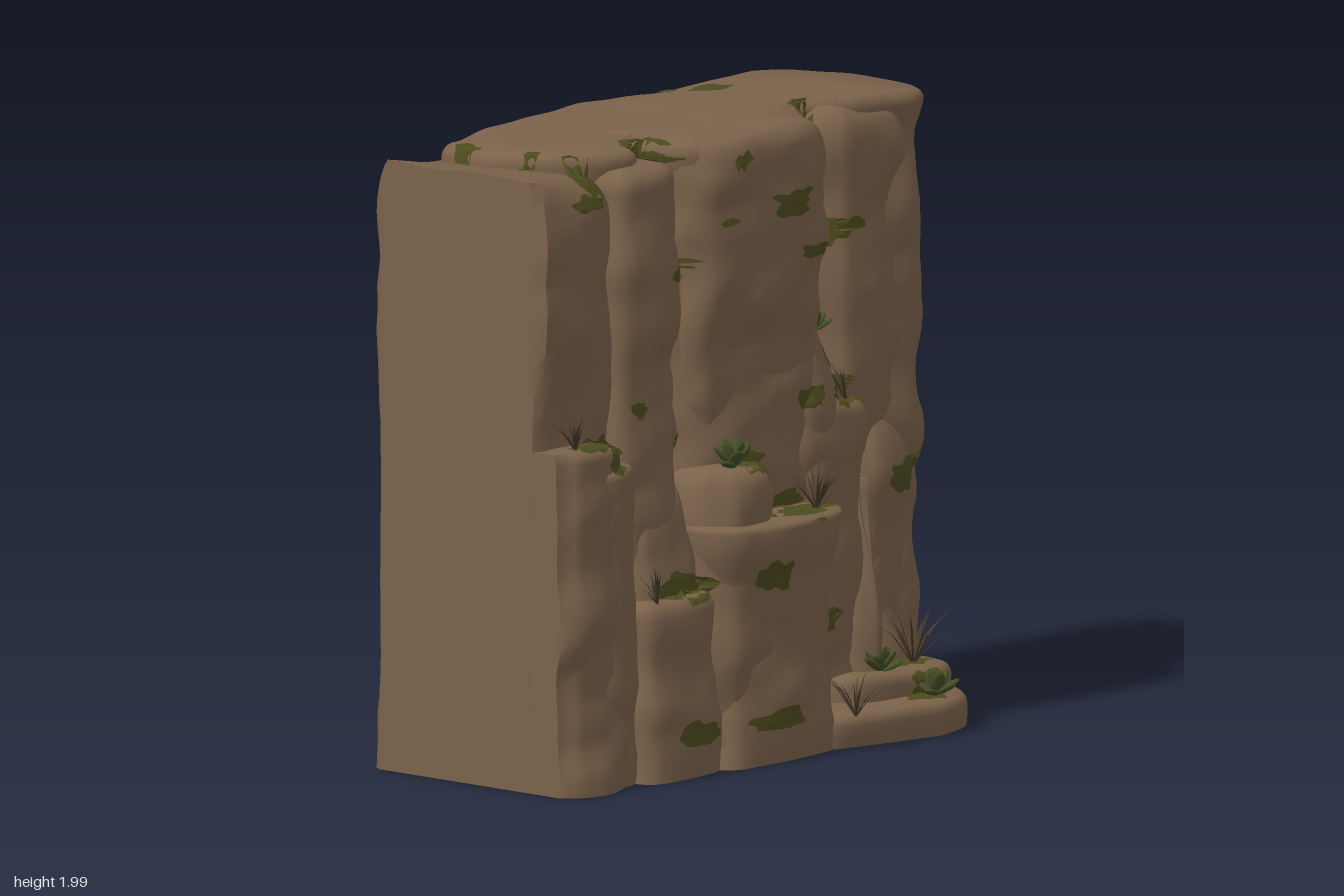
import * as THREE from 'three';
import { toCreasedNormals, mergeGeometries } from 'three/addons/utils/BufferGeometryUtils.js';

const hash = (a, b, c) => {
  const s = Math.sin(a * 127.1 + b * 311.7 + c * 74.7) * 43758.5453;
  return s - Math.floor(s);
};
// smooth value noise, -1..1
function noise(x, y, z) {
  const i = Math.floor(x), j = Math.floor(y), k = Math.floor(z);
  const f = t => t * t * (3 - 2 * t), L = THREE.MathUtils.lerp;
  const u = f(x - i), v = f(y - j), w = f(z - k);
  const edge = (b, c) => L(hash(i, b, c), hash(i + 1, b, c), u);
  return 2 * L(L(edge(j, k), edge(j + 1, k), v), L(edge(j, k + 1), edge(j + 1, k + 1), v), w) - 1;
}
function seeded(seed) {
  let n = 0;
  return () => hash(seed, ++n, 3.7);
}
function profileAt(profile, y) {
  for (let i = 1; i < profile.length; i++) {
    const [y0, a] = profile[i - 1], [y1, b] = profile[i];
    if (y <= y1) return a + (b - a) * THREE.MathUtils.smoothstep(y, y0, y1);
  }
  return profile[profile.length - 1][1];
}

// Weathered rock: a ground outline [x, z] raised to a height, inset by a profile [y, inset]
function rockGeometry({ outline, h, profile = [[0, 0]], amp = 0.027, bevel = 0.035, tilt = 0, seed = 0 }) {
  const area = outline.reduce((s, p, i) => {
    const q = outline[(i + 1) % outline.length];
    return s + p[0] * q[1] - q[0] * p[1];
  }, 0);
  const pts = (area > 0 ? outline : [...outline].reverse()).map(p => new THREE.Vector3(p[0], 0, p[1]));
  const curve = new THREE.CatmullRomCurve3(pts, true, 'catmullrom', 0.3);
  const N = outline.length > 12 ? 120 : 60;
  const ring = curve.getSpacedPoints(N).slice(0, N);
  const centre = ring.reduce((s, p) => s.add(p), new THREE.Vector3()).divideScalar(N);
  const levels = [];
  const steps = Math.max(2, Math.round((h - bevel) / 0.045));
  for (let j = 0; j <= steps; j++) levels.push([(h - bevel) * j / steps, 0, 1]);
  for (const a of [0.4, 0.8, 1.2]) levels.push([h - bevel + bevel * Math.sin(a), bevel * (1 - Math.cos(a)), 1]);
  levels.push([h, bevel, 0.8], [h, bevel, 0.4]);
  const pos = [], idx = [];
  for (const [y, cut, scale] of levels) {
    ring.forEach((p, i) => {
      const a = ring[(i + N - 1) % N], b = ring[(i + 1) % N];
      const n = new THREE.Vector3(b.z - a.z, 0, a.x - b.x).normalize();
      const strata = noise(p.x * 2 + seed, y * 5.5 + seed * 3, p.z * 2);
      const fine = noise(p.x * 7, y * 13 + seed, p.z * 7);
      const calm = p.z < -0.2 ? 0.4 : 1;
      const d = amp * calm * (strata + 0.5 * fine) - profileAt(profile, y) - cut;
      const q = p.clone().addScaledVector(n, d).sub(centre).multiplyScalar(scale).add(centre);
      if (p.x < -0.985 && scale === 1) q.x = -1;
      const t = Math.pow(y / h, 4);
      const rise = t * (tilt * (q.x - centre.x) + amp * 0.35 * noise(q.x * 6 + seed, 2, q.z * 6));
      pos.push(Math.max(-1, q.x), y + rise, q.z);
    });
  }
  const last = (levels.length - 1) * N;
  for (let j = 0; j < levels.length - 1; j++) for (let i = 0; i < N; i++) {
    const k = (i + 1) % N, a = j * N + i, b = j * N + k, c = a + N, d = b + N;
    idx.push(a, c, b, b, c, d);
  }
  pos.push(centre.x, h, centre.z, centre.x, 0, centre.z);
  for (let i = 0; i < N; i++) {
    const k = (i + 1) % N;
    idx.push(last + i, last + N, last + k, i, k, last + N + 1);
  }
  const g = new THREE.BufferGeometry();
  g.setAttribute('position', new THREE.Float32BufferAttribute(pos, 3));
  g.setIndex(idx);
  return toCreasedNormals(g, 0.8);
}

const block = (x0, x1, z0, z1, c = 0.04) => [[x0, z0], [x0, (z0 + z1) / 2], [x0 + 0.01, z1 - c], [x0 + c, z1 - 0.01],
  [(x0 + x1) / 2, z1], [x1 - c, z1 - 0.015], [x1 - 0.01, z1 - c], [x1, (z0 + z1) / 2], [x1, z0]];

const rocks = {
  mainWall: { outline: [[-0.8, -0.25], [-0.76, -0.34], [-0.62, -0.38], [-0.5, -0.405], [-0.3, -0.44], [0, -0.465], [0.2, -0.46], [0.35, -0.42],
    [0.6, -0.455], [0.8, -0.445], [0.92, -0.36], [0.97, -0.18], [0.97, 0.02], [0.93, 0.16], [0.78, 0.15], [0.64, 0.14],
    [0.5, 0.04], [0.42, 0.12], [0.3, 0.27], [0, 0.3], [-0.24, 0.27], [-0.37, 0.1], [-0.48, 0.22], [-0.62, 0.2], [-0.76, 0.05]],
    h: 1.985, bevel: 0.045, seed: 1, amp: 0.026 },
  leftWall: { outline: [[-1, -0.4], [-1, -0.1], [-1, 0.27], [-0.9, 0.29], [-0.72, 0.28], [-0.6, 0.22], [-0.5, -0.1], [-0.42, -0.34], [-0.5, -0.395], [-0.75, -0.42]],
    h: 1.93, bevel: 0.08, tilt: -0.12, seed: 2, profile: [[0, 0], [1.7, 0], [1.93, 0.02]] },
  secondPillar: { outline: block(-0.64, -0.34, -0.1, 0.32, 0.05), h: 1.94, bevel: 0.07, seed: 3 },
  centrePillar: { outline: block(-0.3, 0.39, -0.1, 0.345, 0.09), h: 1.985, bevel: 0.06, seed: 4, amp: 0.033,
    profile: [[0, 0.06], [1.0, 0.06], [1.6, 0.015], [1.85, 0], [1.98, 0.02]] },
  rightPillar: { outline: block(0.6, 0.92, -0.1, 0.22, 0.08), h: 1.02, bevel: 0.12, seed: 5, profile: [[0, 0.01], [0.6, 0.025], [0.78, 0], [1, 0.05]] },
  rightUpperPillar: { outline: block(0.48, 0.91, -0.15, 0.2, 0.09), h: 1.975, bevel: 0.07, seed: 6, amp: 0.03, tilt: -0.06,
    profile: [[0, 0.02], [1.2, 0.02], [1.6, 0.03], [1.85, 0.015], [1.97, 0.03]] },
  leftBlock: { outline: block(-1, -0.68, 0, 0.42, 0.06), h: 1.09, seed: 7, profile: [[0, 0], [0.65, 0.005], [0.85, 0.025], [1.09, 0.02]] },
  leftBlockStep: { outline: block(-0.85, -0.62, 0, 0.4, 0.05), h: 1.02, seed: 8, amp: 0.02 },
  secondBlock: { outline: block(-0.64, -0.29, 0, 0.43), h: 0.57, bevel: 0.05, seed: 9 },
  secondBlockStep: { outline: block(-0.62, -0.28, 0, 0.38, 0.06), h: 0.95, bevel: 0.1, seed: 10, profile: [[0, 0], [0.55, 0], [0.95, 0.06]] },
  centreBlock: { outline: block(-0.33, 0.28, 0, 0.49, 0.08), h: 0.77, seed: 11, bevel: 0.02, amp: 0.03,
    profile: [[0, 0.03], [0.45, 0.05], [0.58, 0.045], [0.7, 0.005], [0.77, 0]] },
  centreHump: { outline: block(-0.34, 0.01, 0, 0.46, 0.09), h: 0.94, bevel: 0.05, seed: 12, amp: 0.03, profile: [[0, 0.02], [0.75, 0], [0.94, 0.02]] },
  middlePillar: { outline: block(0.19, 0.6, -0.1, 0.31, 0.07), h: 1.06, bevel: 0.05, seed: 13, amp: 0.03, profile: [[0, 0.02], [0.5, 0.025], [0.95, 0], [1.06, 0.01]] },
  middlePeak: { outline: block(0.2, 0.46, -0.05, 0.3, 0.07), h: 1.29, bevel: 0.03, seed: 14, profile: [[0, 0], [1.0, 0], [1.18, 0.025], [1.29, 0.045]] },
  rockSpike: { outline: [[0.46, 0.22], [0.49, 0.3], [0.55, 0.34], [0.62, 0.29], [0.64, 0.2], [0.55, 0.15]], h: 0.8, bevel: 0.01, amp: 0.008,
    seed: 15, profile: [[0, 0], [0.3, 0.005], [0.8, 0.07]] },
  baseLedge: { outline: [[0.17, 0.1], [0.18, 0.43], [0.35, 0.5], [0.62, 0.56], [0.77, 0.515], [0.88, 0.41], [0.92, 0.1]], h: 0.105, seed: 16, amp: 0.015,
    profile: [[0, 0.01], [0.06, 0]] },
  baseStep: { outline: [[0.34, 0.05], [0.4, 0.34], [0.55, 0.39], [0.75, 0.4], [0.87, 0.35], [0.9, 0.05]], h: 0.185, seed: 17, amp: 0.02 },
  backRidge: { outline: [[-0.24, -0.1], [-0.24, -0.38], [-0.17, -0.46], [-0.06, -0.535], [0.06, -0.545], [0.19, -0.46], [0.26, -0.38], [0.26, -0.1]],
    h: 1.5, seed: 18, profile: [[0, 0], [0.5, 0.01], [1.0, 0.06], [1.45, 0.1]] },
};

// Moss patches: [across, up, half width, half height]
const moss = {
  front: [[-0.75, 1.86, 0.11, 0.035], [-0.33, 1.93, 0.06, 0.02], [0.14, 1.75, 0.13, 0.05], [-0.15, 1.72, 0.06, 0.015],
    [0.52, 1.58, 0.15, 0.055], [0.27, 1.58, 0.11, 0.03], [-0.33, 1.58, 0.11, 0.04], [-0.55, 1.17, 0.045, 0.03], [-0.7, 1.06, 0.1, 0.065],
    [-0.36, 1.05, 0.045, 0.03], [-0.08, 0.95, 0.11, 0.04], [0.27, 1.1, 0.08, 0.045], [0.48, 1.1, 0.13, 0.04], [0.8, 0.77, 0.11, 0.065],
    [0.1, 0.79, 0.19, 0.04], [-0.42, 0.6, 0.14, 0.06], [-0.1, 0.6, 0.11, 0.065], [0.3, 0.38, 0.13, 0.055], [-0.42, 0.14, 0.11, 0.045],
    [-0.07, 0.14, 0.14, 0.055], [0.7, 0.14, 0.11, 0.06], [-0.35, 1.94, 0.04, 0.02]],
  top: [[-0.78, -0.22, 0.05, 0.06], [-0.78, 0.04, 0.05, 0.04], [-0.7, 0.22, 0.08, 0.1], [-0.37, 0.16, 0.11, 0.1], [0.47, -0.3, 0.1, 0.06],
    [0.35, -0.39, 0.04, 0.04], [0.48, 0.06, 0.05, 0.04], [0.47, 0.24, 0.11, 0.08], [-0.82, 0.35, 0.12, 0.05], [0.72, 0.3, 0.12, 0.08],
    [0.64, 0.46, 0.11, 0.06], [0.1, 0.41, 0.18, 0.07], [-0.1, 0.37, 0.1, 0.05]],
  right: [[-0.21, 0.83, 0.03, 0.02], [0.27, 1.57, 0.04, 0.04], [0.19, 0.79, 0.04, 0.04]],
  back: [[0.02, 0.25, 0.13, 0.03]],
};
const casts = {
  front: (u, v) => [[u, v, 3], [0, 0, -1]],
  top: (u, v) => [[u, 4, v], [0, -1, 0]],
  right: (u, v) => [[3, v, u], [-1, 0, 0]],
  back: (u, v) => [[u, v, -3], [0, 0, 1]],
};

export function createModel() {
  const model = new THREE.Group();
  model.name = 'rockCliff';
  const material = (name, color, side) => Object.assign(new THREE.MeshStandardMaterial({ color, side }), { name });
  const rockMat = material('brown rock', 0x7b624a, THREE.FrontSide);
  const mossMat = material('olive moss', 0x4c4b1e, THREE.DoubleSide);
  const leafMat = material('dark green leaf', 0x454e25, THREE.DoubleSide);
  const grassMat = material('dry grass', 0x4a3b2b, THREE.DoubleSide);
  const add = (name, geo, mat) => {
    const m = new THREE.Mesh(geo, mat);
    m.name = name;
    model.add(m);
    return m;
  };
  const stone = Object.entries(rocks).map(([name, spec]) => add(name, rockGeometry(spec), rockMat));

  // Drop points onto the rock surface
  const ray = new THREE.Raycaster();
  const touch = (side, u, v) => {
    const [o, d] = casts[side](u, v);
    ray.set(new THREE.Vector3(...o), new THREE.Vector3(...d));
    const hit = ray.intersectObjects(stone, false)[0];
    return hit && { p: hit.point.addScaledVector(ray.ray.direction, -0.006), t: hit.distance };
  };
  for (const [side, list] of Object.entries(moss)) list.forEach(([u, v, w, h], n) => {
    const S = 22, R = 4, hits = [touch(side, u, v)], pos = [];
    for (let r = 1; r <= R; r++) for (let s = 0; s < S; s++) {
      const a = s / S * Math.PI * 2;
      const rad = (0.45 + 0.45 * hash(s >> 1, n, u * 9) + 0.2 * hash(s, n, v)) * r / R;
      hits.push(touch(side, u + Math.cos(a) * w * rad, v + Math.sin(a) * h * rad));
    }
    const tri = (...ids) => {
      const c = ids.map(i => hits[i]);
      if (c.some(q => !q)) return;
      const t = c.map(q => q.t);
      if (Math.max(...t) - Math.min(...t) < 0.07) c.forEach(q => pos.push(...q.p.toArray()));
    };
    const id = (r, s) => r ? 1 + (r - 1) * S + s % S : 0;
    for (let r = 0; r < R; r++) for (let s = 0; s < S; s++) {
      tri(id(r, s), id(r + 1, s), id(r + 1, s + 1));
      if (r) tri(id(r, s), id(r + 1, s + 1), id(r, s + 1));
    }
    if (!pos.length) return;
    const g = new THREE.BufferGeometry();
    g.setAttribute('position', new THREE.Float32BufferAttribute(pos, 3));
    g.computeVertexNormals();
    add('mossPatch', g, mossMat);
  });

  // Tufts of thin bent blades: x, z, length, blades
  [[-0.89, 0.34, 0.14, 18], [-0.57, 0.4, 0.14, 14], [0.17, 0.41, 0.19, 24], [0.49, 0.25, 0.17, 20], [0.29, 0.47, 0.17, 18], [0.74, 0.31, 0.23, 26]]
    .forEach(([x, z, len, count], k) => {
      const rnd = seeded(k + 20), pos = [], base = touch('top', x, z).p;
      for (let i = 0; i < count; i++) {
        const a = rnd() * Math.PI * 2, l = len * (0.6 + 0.5 * rnd()), lean = 0.25 + 0.75 * rnd();
        const at = (t, side) => [base.x + Math.cos(a) * lean * l * t * (0.6 + 0.4 * t) - Math.sin(a) * side,
          base.y - 0.01 + l * t * (1 - 0.25 * lean * t), base.z + Math.sin(a) * lean * l * t * (0.6 + 0.4 * t) + Math.cos(a) * side];
        const w = 0.004, p = [at(0, -w), at(0, w), at(0.55, -w * 0.8), at(0.55, w * 0.8), at(1, 0)];
        [0, 1, 2, 1, 3, 2, 2, 3, 4].forEach(j => pos.push(...p[j]));
      }
      const g = new THREE.BufferGeometry();
      g.setAttribute('position', new THREE.Float32BufferAttribute(pos, 3));
      g.computeVertexNormals();
      add('grassTuft', g, grassMat);
    });

  // Rosettes of plump leaves: side, across, up or z, size
  [['front', -0.32, 1.58, 0.08], ['front', 0.36, 1.29, 0.07], ['top', -0.19, 0.38, 0.09], ['top', 0.53, 0.36, 0.08], ['top', 0.68, 0.46, 0.085]]
    .forEach(([side, u, v, size], k) => {
      const rnd = seeded(k + 40), base = touch(side, u, v).p, leaves = [];
      for (let i = 0; i < 12; i++) {
        const leaf = new THREE.SphereGeometry(1, 8, 6);
        leaf.scale(size * 0.27, size * 0.5, size * 0.11).translate(0, size * 0.55, 0);
        leaf.rotateX(0.2 + 1.1 * rnd()).rotateY(i * 2.4).translate(base.x, base.y, base.z);
        leaves.push(leaf);
      }
      add('leafRosette', mergeGeometries(leaves), leafMat);
    });
  return model;
}
